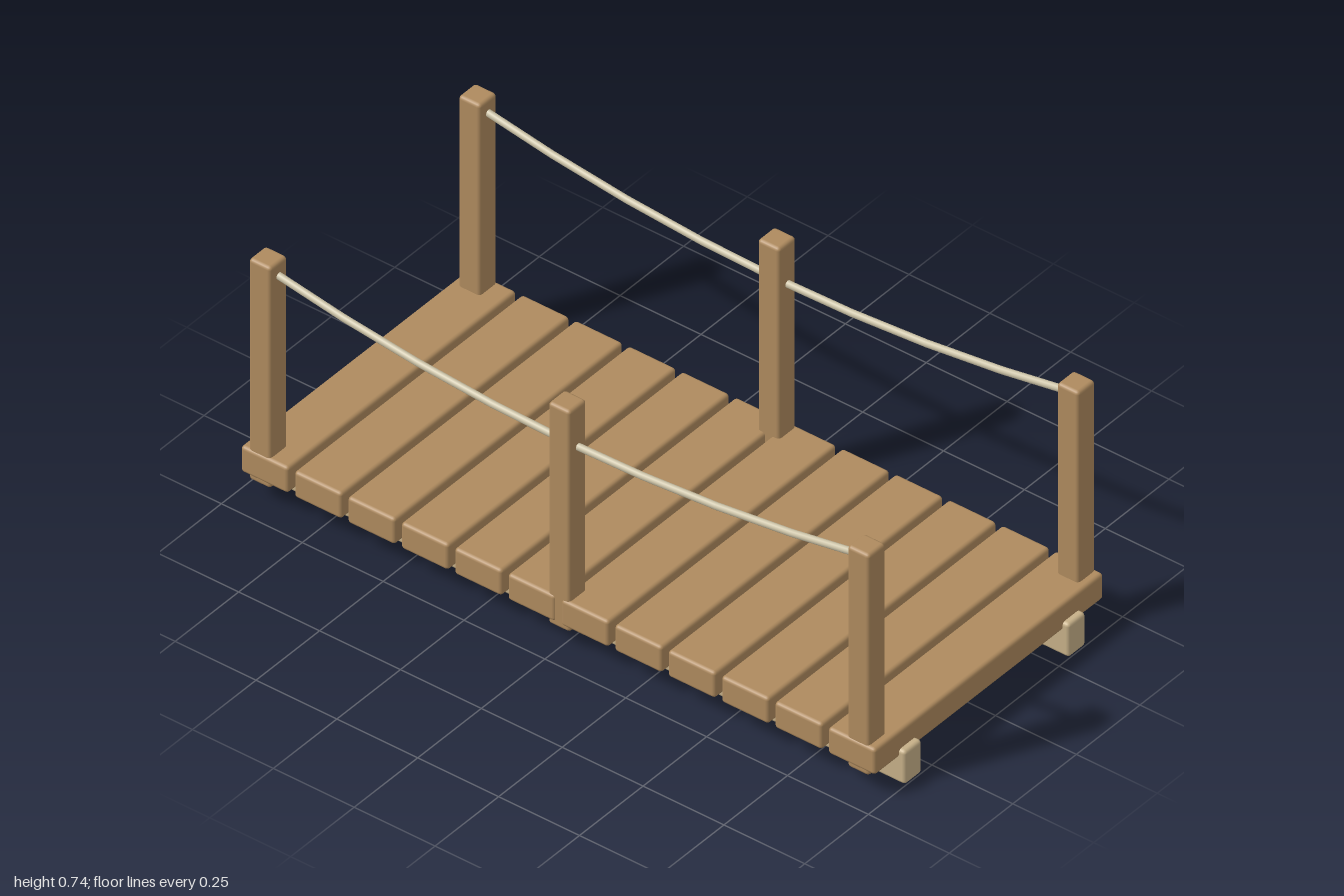
import * as THREE from 'three';
import { RoundedBoxGeometry } from 'three/addons/geometries/RoundedBoxGeometry.js';

const wood = new THREE.MeshStandardMaterial({ color: 0xae8a5e });
const paleWood = new THREE.MeshStandardMaterial({ color: 0xc6b088 });
const ropeMaterial = new THREE.MeshStandardMaterial({ color: 0xc9c0a4 });

const POST_X = 0.412;
const POST_Z = 0.925;

function addBeam(group, name, size, position, material) {
  const mesh = new THREE.Mesh(new RoundedBoxGeometry(...size, 2, 0.01), material);
  mesh.name = name;
  mesh.position.set(...position);
  group.add(mesh);
}

// Sagging handrail: straight lengths laid end to end along a parabola
function makeRope(x, name) {
  const rope = new THREE.Group();
  rope.name = name;
  const count = 8;
  const pointAt = (i) => {
    const t = (i / count) * 2 - 1;
    return new THREE.Vector3(x, 0.615 + 0.09 * t * t, t * POST_Z);
  };
  const up = new THREE.Vector3(0, 1, 0);
  for (let i = 0; i < count; i++) {
    const a = pointAt(i);
    const direction = pointAt(i + 1).sub(a);
    const length = direction.length();
    const segment = new THREE.Mesh(new THREE.CylinderGeometry(0.01, 0.01, length + 0.004, 10), ropeMaterial);
    segment.name = 'ropeSegment';
    segment.position.copy(a).addScaledVector(direction, 0.5);
    segment.quaternion.setFromUnitVectors(up, direction.normalize());
    rope.add(segment);
  }
  return rope;
}

export function createModel() {
  const bridge = new THREE.Group();
  bridge.name = 'footbridge';

  // Deck of cross planks
  const deck = new THREE.Group();
  deck.name = 'deck';
  for (let i = 0; i < 12; i++) {
    addBeam(deck, 'plank', [0.9, 0.08, 0.147], [0, 0.118, (i - 5.5) * 0.165], wood);
  }
  bridge.add(deck);

  // Bearer, posts and rope on each side
  for (const [side, label] of [[1, 'left'], [-1, 'right']]) {
    addBeam(bridge, label + 'Bearer', [0.068, 0.102, 2], [side * 0.322, 0.052, 0], paleWood);
    for (const z of [-POST_Z, 0, POST_Z]) {
      addBeam(bridge, label + 'Post', [0.068, 0.678, 0.068], [side * POST_X, 0.402, z], wood);
    }
    bridge.add(makeRope(side * POST_X, label + 'Rope'));
  }

  return bridge;
}
